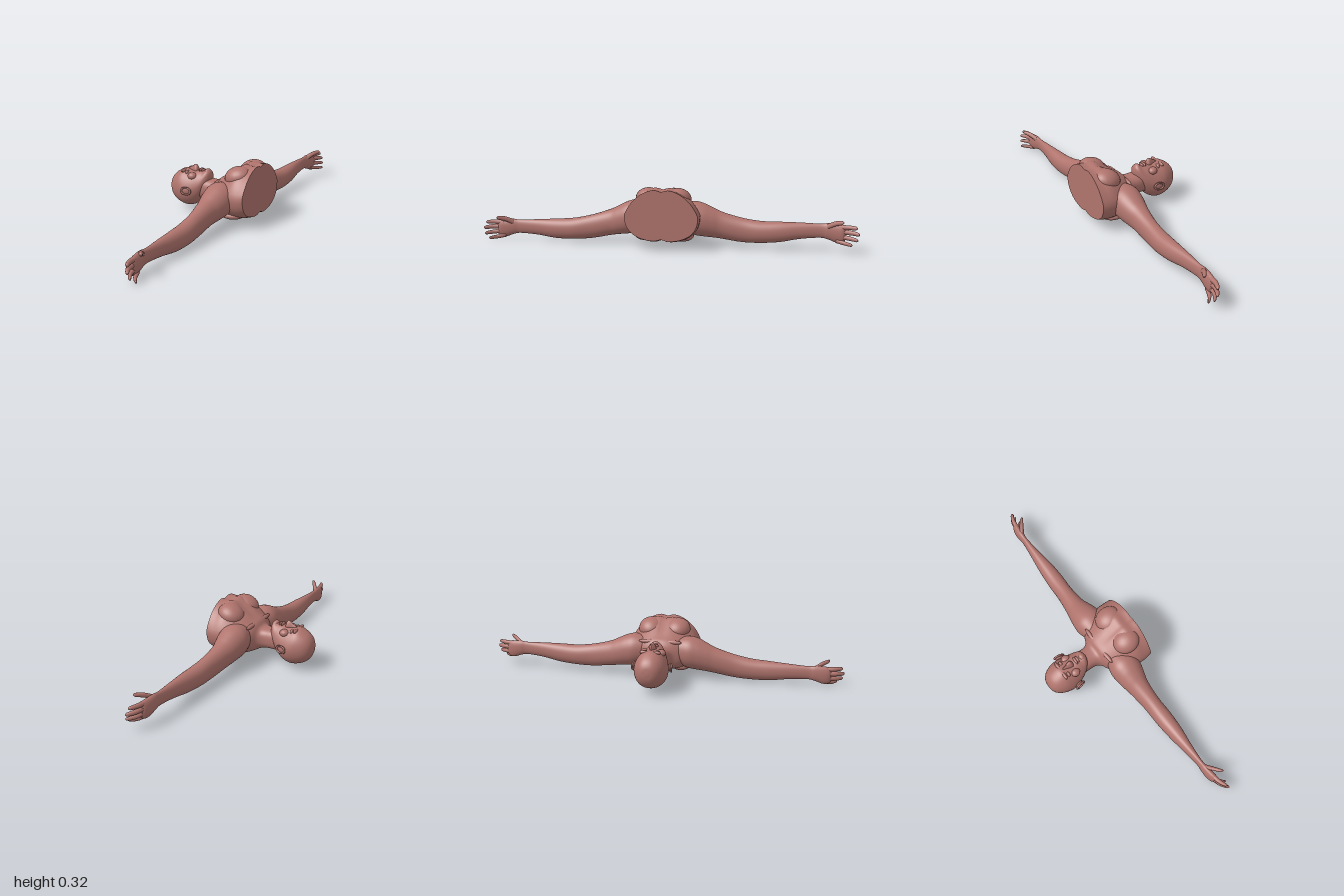
import * as THREE from 'three';

const skin = new THREE.MeshStandardMaterial({ color: 0xb0746d });
const V = (x, y, z) => new THREE.Vector3(x, y, z);

// Smooth loft through stations { c: centre, a, b: half sizes along A and B, k: narrowing towards +B }
// A x B must point along the direction of travel.
function loft(name, stations, A, B, { seg = 40, sub = 5, power = 2, shape } = {}) {
  const centres = new THREE.CatmullRomCurve3(stations.map(s => s.c), false, 'catmullrom');
  const sizes = new THREE.CatmullRomCurve3(stations.map(s => V(s.a, s.b, s.k || 0)), false, 'catmullrom');
  const rows = (stations.length - 1) * sub;
  const pos = [], index = [];
  const sp = v => Math.sign(v) * Math.abs(v) ** (2 / power);
  for (let i = 0; i <= rows; i++) {
    const c = centres.getPoint(i / rows), s = sizes.getPoint(i / rows);
    for (let j = 0; j < seg; j++) {
      const t = j / seg * Math.PI * 2, v = sp(Math.sin(t));
      const u = sp(Math.cos(t)) * (1 - s.z * Math.max(0, v));
      const p = c.clone().addScaledVector(A, u * s.x).addScaledVector(B, v * s.y);
      if (shape) shape(p, u, v);
      pos.push(p.x, p.y, p.z);
    }
  }
  for (let i = 0; i < rows; i++) for (let j = 0; j < seg; j++) {
    const a = i * seg + j, b = i * seg + (j + 1) % seg;
    index.push(a, b, b + seg, a, b + seg, a + seg);
  }
  // End caps with their own vertices, so the cut stays sharp
  for (const end of [0, 1]) {
    const first = end * rows * seg, base = pos.length / 3, c = centres.getPoint(end);
    for (let j = 0; j < seg; j++) pos.push(...pos.slice((first + j) * 3, (first + j) * 3 + 3));
    pos.push(c.x, c.y, c.z);
    for (let j = 0; j < seg; j++) {
      const a = base + j, b = base + (j + 1) % seg;
      if (end) index.push(base + seg, a, b); else index.push(base + seg, b, a);
    }
  }
  const g = new THREE.BufferGeometry();
  g.setAttribute('position', new THREE.Float32BufferAttribute(pos, 3));
  g.setIndex(index);
  g.computeVertexNormals();
  const mesh = new THREE.Mesh(g, skin);
  mesh.name = name;
  return mesh;
}

function blob(name, [x, y, z], [sx, sy, sz], rotZ = 0) {
  const mesh = new THREE.Mesh(new THREE.SphereGeometry(1, 24, 16), skin);
  mesh.name = name;
  mesh.position.set(x, y, z);
  mesh.scale.set(sx, sy, sz);
  mesh.rotation.z = rotZ;
  return mesh;
}

// Body stations along x: [x, low y, high y, half width, narrowing]
const alongX = rows => rows.map(([x, lo, hi, w, k]) => ({ c: V(x, (lo + hi) / 2, 0), a: w, b: (hi - lo) / 2, k }));

function createTorso() {
  return loft('torso', alongX([
    [-0.10, 0.08, 0.195, 0.052, 0],
    [-0.05, 0.085, 0.197, 0.056, 0],
    [0.00, 0.083, 0.195, 0.058, 0],
    [0.03, 0.075, 0.200, 0.075, 0.05],
    [0.05, 0.066, 0.224, 0.115, 0.15],
    [0.08, 0.056, 0.245, 0.160, 0.25],
    [0.12, 0.046, 0.275, 0.182, 0.3],
    [0.16, 0.040, 0.303, 0.190, 0.3],
    [0.20, 0.038, 0.324, 0.193, 0.3],
    [0.24, 0.043, 0.319, 0.194, 0.3],
    [0.273, 0.053, 0.323, 0.190, 0.3],
  ]), V(0, 0, -1), V(0, 1, 0), {
    seg: 64, power: 2.5,
    // Shallow grooves along the breastbone and spine
    shape: (p, u, v) => {
      const depth = 0.012 * THREE.MathUtils.smoothstep(p.x, 0.05, 0.16);
      p.y -= Math.sign(v) * depth * Math.exp(-((p.z / 0.022) ** 2));
    },
  });
}

function createHead() {
  const head = new THREE.Group();
  head.name = 'head';
  head.add(loft('skull', alongX([
    [-0.275, 0.125, 0.142, 0.008, 0],
    [-0.270, 0.098, 0.170, 0.034, 0],
    [-0.255, 0.070, 0.196, 0.056, 0],
    [-0.230, 0.049, 0.217, 0.074, 0.05],
    [-0.195, 0.035, 0.235, 0.087, 0.12],
    [-0.160, 0.031, 0.234, 0.091, 0.18],
    [-0.125, 0.040, 0.233, 0.085, 0.2],
    [-0.095, 0.062, 0.237, 0.075, 0.2],
    [-0.070, 0.095, 0.238, 0.064, 0.2],
    [-0.050, 0.130, 0.247, 0.048, 0.15],
    [-0.036, 0.165, 0.238, 0.030, 0],
    [-0.028, 0.190, 0.218, 0.008, 0],
  ]), V(0, 0, -1), V(0, 1, 0), { seg: 48, power: 2.15 }));

  // Nose, running from the brow to the tip
  head.add(loft('nose', alongX([
    [-0.180, 0.205, 0.234, 0.008, 0.3],
    [-0.155, 0.205, 0.249, 0.011, 0.4],
    [-0.130, 0.205, 0.265, 0.018, 0.4],
    [-0.118, 0.205, 0.256, 0.018, 0.3],
    [-0.112, 0.210, 0.240, 0.010, 0],
  ]), V(0, 0, -1), V(0, 1, 0), { seg: 24 }));
  head.add(blob('upperLip', [-0.094, 0.238, 0], [0.007, 0.010, 0.024]));
  head.add(blob('lowerLip', [-0.081, 0.236, 0], [0.007, 0.010, 0.020]));
  head.add(blob('chin', [-0.053, 0.234, 0], [0.016, 0.016, 0.022]));
  for (const s of [1, -1]) {
    head.add(blob('brow', [-0.186, 0.227, s * 0.032], [0.009, 0.010, 0.025]));
    head.add(blob('eye', [-0.164, 0.220, s * 0.034], [0.009, 0.013, 0.016]));
    head.add(blob('cheek', [-0.125, 0.208, s * 0.045], [0.026, 0.020, 0.024]));
    // Ear: a shallow bowl with a raised rim
    const ear = new THREE.Group();
    ear.name = 'ear';
    const rim = new THREE.Mesh(new THREE.TorusGeometry(0.022, 0.005, 10, 28), skin);
    rim.name = 'earRim';
    rim.scale.set(1.2, 0.9, 1);
    rim.position.z = s * 0.008;
    ear.add(rim, blob('earBowl', [0, 0, 0], [0.026, 0.020, 0.009]));
    ear.position.set(-0.134, 0.135, s * 0.093);
    ear.rotation.y = s * 0.2;
    head.add(ear);
  }
  return head;
}

function createArm(side) {
  const arm = new THREE.Group();
  arm.name = side > 0 ? 'leftArm' : 'rightArm';
  const A = V(side, 0, 0), B = V(0, 1, 0);
  // The right arm is held slightly higher
  const lift = z => side > 0 ? 0 : 0.04 * THREE.MathUtils.smoothstep(z, 0.15, 0.85);
  const at = (x, y, z) => V(x, y + lift(z), side * z);

  // Stations along the arm: [z, low x, high x, low y, high y]
  arm.add(loft('armAndPalm', [
    [0.08, 0.055, 0.170, 0.090, 0.225],
    [0.15, 0.036, 0.200, 0.064, 0.240],
    [0.20, 0.040, 0.198, 0.056, 0.230],
    [0.25, 0.050, 0.186, 0.050, 0.206],
    [0.30, 0.062, 0.174, 0.042, 0.182],
    [0.40, 0.078, 0.170, 0.023, 0.150],
    [0.50, 0.082, 0.175, 0.015, 0.129],
    [0.60, 0.090, 0.170, 0.016, 0.121],
    [0.70, 0.102, 0.156, 0.029, 0.114],
    [0.80, 0.114, 0.146, 0.035, 0.108],
    [0.84, 0.112, 0.150, 0.028, 0.112],
    [0.88, 0.114, 0.155, 0.014, 0.110],
    [0.91, 0.121, 0.157, 0.014, 0.106],
    [0.925, 0.132, 0.150, 0.026, 0.094],
  ].map(([z, x0, x1, y0, y1]) => ({ c: at((x0 + x1) / 2, (y0 + y1) / 2, z), a: (x1 - x0) / 2, b: (y1 - y0) / 2 })),
  A, B, { power: 2.1 }));

  // Digits: [name, [x, y, z] along the digit, radius]
  const digits = [
    ['indexFinger', [[0.138, 0.092, 0.89], [0.144, 0.095, 0.94], [0.162, 0.096, 0.985]], 0.012],
    ['middleFinger', [[0.138, 0.070, 0.89], [0.146, 0.069, 0.95], [0.172, 0.066, 0.996]], 0.0125],
    ['ringFinger', [[0.138, 0.046, 0.89], [0.150, 0.041, 0.945], [0.180, 0.037, 0.988]], 0.0115],
    ['littleFinger', [[0.140, 0.024, 0.88], [0.160, 0.016, 0.925], [0.192, 0.015, 0.960]], 0.0105],
    ['thumb', [[0.130, 0.090, 0.83], [0.158, 0.116, 0.875], [0.186, 0.128, 0.915]], 0.013],
  ];
  for (const [name, pts, r] of digits) {
    const curve = new THREE.CatmullRomCurve3(pts.map(p => at(...p)));
    const stations = [[0, 1.1], [0.25, 1.05], [0.5, 1], [0.75, 0.9], [0.93, 0.7], [1, 0.15]]
      .map(([t, f]) => ({ c: curve.getPoint(t), a: r * f, b: r * f }));
    arm.add(loft(name, stations, A, B, { seg: 16, sub: 3 }));
  }
  return arm;
}

export function createModel() {
  const model = new THREE.Group();
  model.name = 'recliningBust';
  model.add(createTorso(), createHead(), createArm(1), createArm(-1));
  for (const s of [1, -1]) {
    model.add(blob('chestMuscle', [0.185, 0.262, s * 0.075], [0.075, 0.056, 0.07], 0.3));
    model.add(blob('collarbone', [0.062, 0.215, s * 0.065], [0.012, 0.012, 0.055]));
    model.add(blob('shoulderBlade', [0.16, 0.062, s * 0.1], [0.07, 0.025, 0.055]));
  }
  return model;
}
